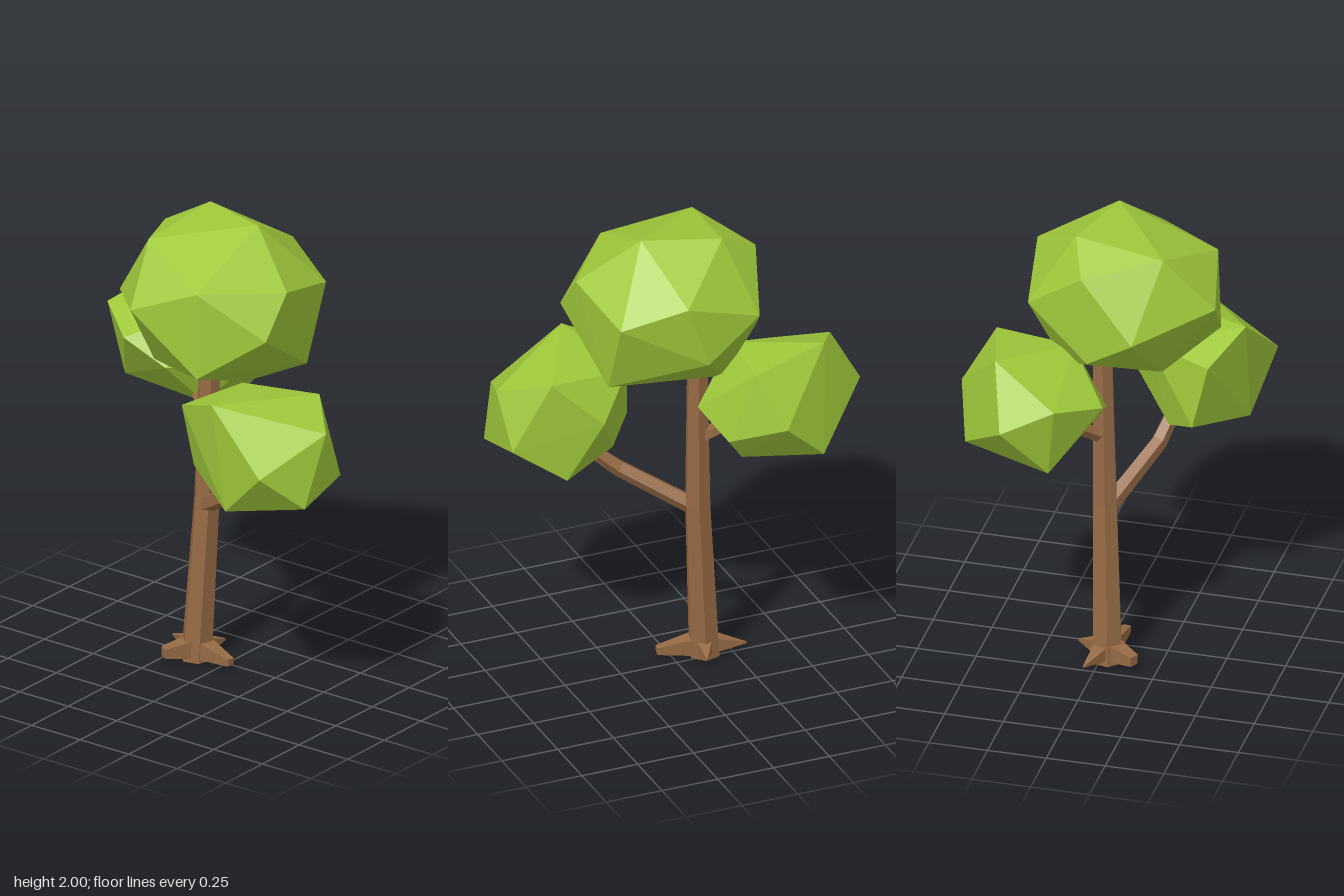
import * as THREE from 'three';
import { ConvexGeometry } from 'three/addons/geometries/ConvexGeometry.js';

const bark = new THREE.MeshStandardMaterial({ color: 0x966a44, flatShading: true });
const leaf = new THREE.MeshStandardMaterial({ color: 0x9fc83a, flatShading: true });

// Tapering faceted limb through [x, y, z, radius] sections; level keeps the rings horizontal
function limb(name, sections, sides, { level = false, turn = 0 } = {}) {
  const centres = sections.map(([x, y, z]) => new THREE.Vector3(x, y, z));
  const last = centres.length - 1;
  const pos = [], index = [];
  centres.forEach((c, i) => {
    const t = level ? new THREE.Vector3(0, 1, 0)
      : centres[Math.min(i + 1, last)].clone().sub(centres[Math.max(i - 1, 0)]).normalize();
    const ref = Math.abs(t.y) > 0.95 ? new THREE.Vector3(0, 0, 1) : new THREE.Vector3(0, 1, 0);
    const u = ref.cross(t).normalize();
    const v = t.clone().cross(u);
    for (let j = 0; j < sides; j++) {
      const a = turn + (j / sides) * Math.PI * 2;
      const p = c.clone().addScaledVector(u, Math.cos(a) * sections[i][3]).addScaledVector(v, Math.sin(a) * sections[i][3]);
      pos.push(p.x, p.y, p.z);
    }
  });
  const start = pos.length / 3;
  pos.push(...centres[0].toArray(), ...centres[last].toArray());
  for (let j = 0; j < sides; j++) {
    const k = (j + 1) % sides;
    for (let i = 0; i < last; i++) {
      const a = i * sides + j, b = i * sides + k;
      index.push(a, b, b + sides, a, b + sides, a + sides);
    }
    index.push(start, k, j, start + 1, last * sides + j, last * sides + k);
  }
  const indexed = new THREE.BufferGeometry();
  indexed.setAttribute('position', new THREE.Float32BufferAttribute(pos, 3));
  indexed.setIndex(index);
  const geometry = indexed.toNonIndexed();
  geometry.computeVertexNormals();
  const mesh = new THREE.Mesh(geometry, bark);
  mesh.name = name;
  return mesh;
}

// Faceted leaf clump: the convex hull of a few corners
function clump(name, corners) {
  const mesh = new THREE.Mesh(new ConvexGeometry(corners.map(c => new THREE.Vector3(...c))), leaf);
  mesh.name = name;
  return mesh;
}

export function createModel() {
  const tree = new THREE.Group();
  tree.name = 'tree';

  // Trunk, leaning slightly towards the crown
  tree.add(limb('trunk', [
    [-0.135, 0, 0.028, 0.068],
    [-0.097, 0.72, 0.007, 0.056],
    [-0.09, 1.42, -0.005, 0.045],
  ], 6, { level: true, turn: 0.25 }));

  // Branches
  tree.add(limb('frontBranch', [
    [-0.09, 0.7, 0.02, 0.04],
    [0.19, 0.87, 0.16, 0.036],
    [0.32, 0.98, 0.2, 0.03],
  ], 5));
  tree.add(limb('backBranch', [
    [-0.1, 1.03, 0, 0.032],
    [-0.17, 1.09, -0.06, 0.03],
    [-0.24, 1.14, -0.11, 0.026],
  ], 5));

  // Roots: wedges spreading from the foot of the trunk
  const roots = new THREE.Group();
  roots.name = 'roots';
  for (const [x, y, z, tip] of [
    [0.065, 0.042, 0.06, 0.022],
    [-0.205, 0.05, 0.16, 0.03],
    [-0.3, 0.045, -0.03, 0.004],
    [-0.09, 0.05, -0.105, 0.006],
  ]) {
    roots.add(limb('root', [[-0.13, 0.055, 0.025, 0.062], [x, y, z, tip]], 4, { turn: Math.PI / 4 }));
  }
  tree.add(roots);

  // Leaf clumps
  tree.add(clump('topFoliage', [
    [0.16, 2, 0], [-0.16, 1.99, -0.1], [-0.19, 1.945, 0.28], [-0.34, 1.89, -0.03],
    [-0.13, 1.71, 0.485], [0.16, 1.83, 0.42], [-0.4, 1.64, 0.2], [0.4, 1.8, 0.12],
    [0.405, 1.63, 0.27], [0.345, 1.72, -0.22], [0.345, 1.4, -0.09], [0.17, 1.46, 0.43],
    [0.09, 1.82, -0.33], [0, 1.55, -0.335], [-0.25, 1.7, -0.28], [-0.36, 1.51, 0],
    [-0.17, 1.41, 0.27], [0.16, 1.33, 0.08], [-0.15, 1.38, -0.15],
  ]));
  tree.add(clump('backFoliage', [
    [-0.51, 1.555, -0.35], [-0.165, 1.515, -0.435], [-0.255, 1.3, -0.56], [-0.445, 1.12, -0.495],
    [-0.06, 1.21, -0.4], [-0.66, 1.43, -0.06], [-0.46, 1.37, 0.095], [-0.7, 1.32, -0.28],
    [-0.6, 1.11, -0.1], [-0.2, 1.08, -0.11], [-0.02, 1.27, -0.17], [-0.2, 1.5, -0.1],
    [-0.14, 1.1, -0.35], [-0.27, 1.27, 0.06],
  ]));
  tree.add(clump('frontFoliage', [
    [0.3, 1.4, 0.5], [0.53, 1.365, 0.07], [0.7, 1.29, 0.25], [0.695, 1, 0.39],
    [0.68, 1.06, 0.125], [0.59, 1.16, 0.56], [0.37, 0.945, 0.5], [0.46, 0.91, 0.07],
    [0.07, 1.31, 0.4], [0.08, 1.02, 0.33], [0.2, 0.95, 0.2], [0.32, 1.17, 0.01],
    [0.17, 1.34, 0.12],
  ]));

  return tree;
}
